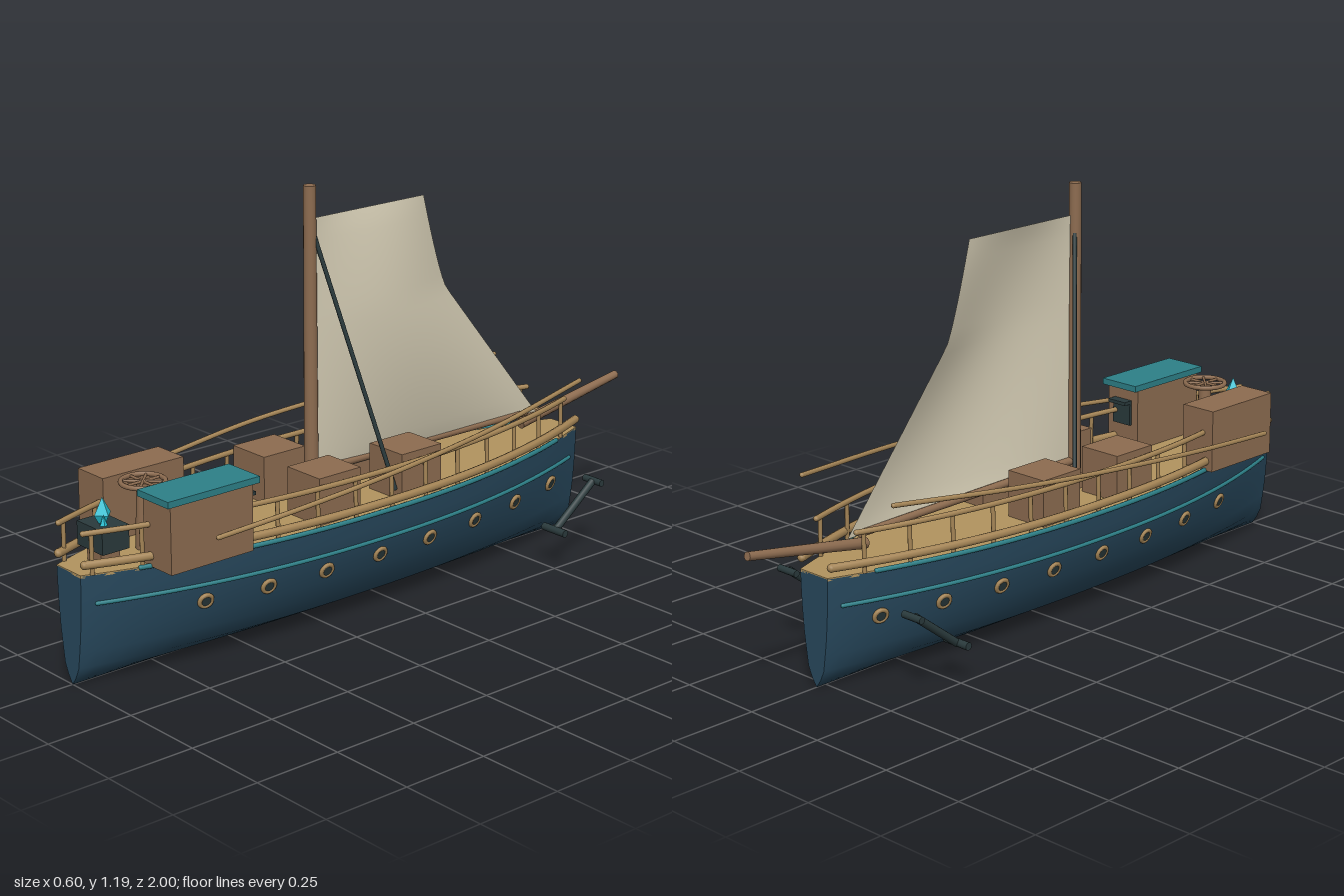
import * as THREE from 'three';

const STERN = 1, BOW = -0.78, DECK = 0.316;
const mat = (name, color, side = THREE.FrontSide) => {
  const m = new THREE.MeshStandardMaterial({ color, side });
  m.name = name;
  return m;
};
const V = (x, y, z) => new THREE.Vector3(x, y, z);

// Half breadth of the deck at a given z, and the section as [breadth fraction, y]
const half = (z) => 0.052 + 0.156 * (1 - Math.pow(Math.abs((z - 0.11) / 0.89), 2.2));
const SECTION = [[0, 0.003], [0.3, 0.025], [0.57, 0.055], [0.7, 0.1], [0.83, 0.15], [0.94, 0.22], [0.98, 0.27], [1, 0.315]];

export function createModel() {
  const model = new THREE.Group();
  model.name = 'sailingBoat';
  const M = {
    hull: mat('hullBlue', 0x28495e, THREE.DoubleSide),
    deck: mat('deckWood', 0xb2945f),
    rail: mat('railWood', 0xa58556),
    wood: mat('brownWood', 0x8d6c50),
    teal: mat('tealTrim', 0x2d8088),
    dark: mat('darkIron', 0x2a3a3c),
    crystal: mat('cyanCrystal', 0x25c3d6),
    sail: mat('sailCloth', 0xd2cab2, THREE.DoubleSide),
  };
  M.crystal.flatShading = true;

  const add = (name, geo, material, pos = [0, 0, 0], parent = model) => {
    const m = new THREE.Mesh(geo, material);
    m.name = name;
    m.position.set(...pos);
    parent.add(m);
    return m;
  };
  const box = (name, x0, x1, y0, y1, z0, z1, material) =>
    add(name, new THREE.BoxGeometry(x1 - x0, y1 - y0, z1 - z0), material, [(x0 + x1) / 2, (y0 + y1) / 2, (z0 + z1) / 2]);
  const beam = (name, a, b, r0, r1, material, sides = 12) => {
    const d = b.clone().sub(a);
    const m = add(name, new THREE.CylinderGeometry(r1, r0, d.length(), sides), material, a.clone().add(b).multiplyScalar(0.5).toArray());
    m.quaternion.setFromUnitVectors(V(0, 1, 0), d.normalize());
    return m;
  };
  const tube = (name, pts, r, material) => {
    add(name, new THREE.TubeGeometry(new THREE.CatmullRomCurve3(pts), 48, r, 8), material);
    // closed ends
    for (const i of [0, pts.length - 1]) add(name + 'End', new THREE.SphereGeometry(r, 8, 6), material, pts[i].toArray());
  };
  // Curve following the hull side at a fixed height
  const along = (side, z0, z1, y, f, n = 24) =>
    Array.from({ length: n + 1 }, (_, i) => {
      const z = z0 + (z1 - z0) * i / n;
      return V(side * half(z) * f, y, z);
    });

  // Hull skin lofted from scaled sections
  const ring = [...SECTION.slice(1).reverse().map(([f, y]) => [-f, y]), ...SECTION];
  const N = 40, K = ring.length, pos = [], idx = [];
  for (let i = 0; i <= N; i++) {
    const z = STERN + (BOW - STERN) * i / N;
    for (const [f, y] of ring) pos.push(f * half(z), y, z);
  }
  for (let i = 0; i < N; i++) for (let j = 0; j < K - 1; j++) {
    const a = i * K + j, b = a + K;
    idx.push(a, b, b + 1, a, b + 1, a + 1);
  }
  const skin = new THREE.BufferGeometry();
  skin.setAttribute('position', new THREE.Float32BufferAttribute(pos, 3));
  skin.setIndex(idx);
  skin.computeVertexNormals();
  add('hull', skin, M.hull);
  for (const z of [STERN, BOW]) {
    const cap = new THREE.Shape(ring.map(([f, y]) => new THREE.Vector2(f * half(z), y)));
    const m = add('hullEnd', new THREE.ShapeGeometry(cap), M.hull, [0, 0, z]);
    if (z < 0) m.rotation.y = Math.PI;
  }

  // Deck plate
  const outline = [...along(1, STERN, BOW, 0, 1), ...along(-1, BOW, STERN, 0, 1)].map((p) => new THREE.Vector2(p.x, -p.z));
  const deck = new THREE.ExtrudeGeometry(new THREE.Shape(outline), { depth: 0.008, bevelEnabled: false });
  add('deck', deck.rotateX(-Math.PI / 2), M.deck, [0, DECK - 0.006, 0]);

  for (const s of [1, -1]) {
    // Trim lines and railings
    tube('gunwaleTrim', along(s, 0.85, -0.65, 0.317, 1), 0.007, M.teal);
    tube('sideTrim', along(s, 0.96, -0.74, 0.236, 0.955), 0.006, M.teal);
    tube('lowerRail', along(s, 0.99, -0.77, 0.345, 1.02), 0.012, M.rail);
    tube('upperRail', along(s, 0.99, -0.7, 0.428, 0.95), 0.008, M.rail);
    for (let i = 0; i < 14; i++) {
      const z = 0.97 - i * 0.127, x = s * half(z);
      beam('railPost', V(x * 0.97, 0.316, z), V(x * 0.95, 0.428, z), 0.006, 0.006, M.rail, 8);
    }

    // Portholes set against the hull
    for (let i = 0; i < 8; i++) {
      const z = 0.67 - i * 0.1865, f = 0.89;
      const hole = new THREE.Group();
      hole.name = 'porthole';
      hole.position.set(s * (half(z) * f + 0.002), 0.187, z);
      const slope = (half(z + 0.01) - half(z - 0.01)) / 0.02 * f;
      hole.lookAt(hole.position.clone().add(V(s, -0.3, -slope)));
      add('portholeRim', new THREE.TorusGeometry(0.018, 0.006, 8, 20), M.rail, [0, 0, 0], hole);
      add('portholeGlass', new THREE.CylinderGeometry(0.016, 0.016, 0.008, 16).rotateX(Math.PI / 2), M.dark, [0, 0, 0], hole);
      model.add(hole);
    }

    // Long bowed poles outboard
    tube('bowedPole', [V(s * 0.26, 0.41, 0.72), V(s * 0.282, 0.433, 0.45), V(s * 0.292, 0.46, 0.15),
      V(s * 0.255, 0.486, -0.25), V(s * 0.175, 0.515, -0.66)], 0.007, M.rail);

    // Anchors
    beam('anchorShank', V(s * 0.243, 0.23, -0.655), V(s * 0.243, 0.115, -0.505), 0.011, 0.011, M.dark);
    beam('anchorStock', V(s * 0.207, 0.23, -0.66), V(s * 0.275, 0.23, -0.66), 0.01, 0.01, M.dark);
    beam('anchorArm', V(s * 0.2, 0.117, -0.505), V(s * 0.285, 0.117, -0.505), 0.011, 0.011, M.dark);

    // Deck crates and mast stays
    for (const z of [-0.045, 0.248])
      box('crate', s * 0.115 - 0.066, s * 0.115 + 0.066, DECK, 0.45, z - 0.072, z + 0.072, M.wood);
    beam('stay', V(s * 0.008, 1.05, 0.185), V(s * 0.158, 0.345, 0.03), 0.006, 0.006, M.dark, 8);
  }

  // Cabins by the stern
  box('cabin', 0.086, 0.2, DECK, 0.502, 0.56, 0.825, M.wood);
  box('cabinRoof', 0.08, 0.208, 0.5, 0.518, 0.542, 0.838, M.teal);
  box('cabinWindow', 0.11, 0.175, 0.39, 0.46, 0.552, 0.561, M.dark);
  box('windowHood', 0.11, 0.175, 0.455, 0.465, 0.53, 0.561, M.dark);
  box('storeCabin', -0.2, -0.09, DECK, 0.497, 0.56, 0.822, M.wood);

  // Steering wheel lying flat on a column
  add('wheelColumn', new THREE.CylinderGeometry(0.018, 0.024, 0.18, 12), M.wood, [0, 0.408, 0.76]);
  add('wheelRim', new THREE.TorusGeometry(0.058, 0.007, 8, 28).rotateX(Math.PI / 2), M.wood, [0, 0.5, 0.76]);
  for (let i = 0; i < 4; i++) {
    const a = i * Math.PI / 4, x = Math.cos(a) * 0.057, z = Math.sin(a) * 0.057;
    beam('wheelSpoke', V(-x, 0.5, 0.76 - z), V(x, 0.5, 0.76 + z), 0.004, 0.004, M.wood, 8);
  }

  // Crystal brazier
  box('brazierFoot', -0.03, 0.03, DECK, 0.36, 0.86, 0.92, M.wood);
  box('brazier', -0.055, 0.055, 0.355, 0.42, 0.848, 0.932, M.dark);
  const crystal = add('crystal', new THREE.OctahedronGeometry(0.026), M.crystal, [0, 0.443, 0.89]);
  crystal.scale.y = 1.75;
  for (const [x, z] of [[0.02, 0.012], [-0.02, -0.012]])
    add('smallCrystal', new THREE.ConeGeometry(0.011, 0.03, 5), M.crystal, [x, 0.434, 0.89 + z]);

  // Mast, boom and bowsprit
  beam('mast', V(0, DECK, 0.195), V(0, 1.19, 0.195), 0.02, 0.017, M.wood, 16);
  add('mastBase', new THREE.CylinderGeometry(0.028, 0.028, 0.035, 16), M.wood, [0, 0.335, 0.195]);
  beam('boom', V(0, 0.395, 0.19), V(0, 0.385, -0.62), 0.012, 0.01, M.wood);
  beam('bowsprit', V(0, 0.355, -0.6), V(0, 0.423, -0.998), 0.016, 0.012, M.wood);

  // Billowing sail with a bent trailing edge
  const sail = new THREE.PlaneGeometry(1, 1, 20, 24);
  const p = sail.attributes.position;
  for (let i = 0; i < p.count; i++) {
    const u = p.getX(i) + 0.5, v = p.getY(i) + 0.5;
    const y = 0.38 + 0.72 * v, t = Math.max(0, (y - 0.82) / 0.28);
    const edge = y < 0.82 ? -0.66 + 0.36 * (y - 0.38) / 0.44 : -0.3 + 0.09 * Math.pow(t, 0.8);
    const belly = 0.048 * Math.sin(Math.PI * u) * Math.pow(Math.sin(Math.PI * Math.min(v, 1)), 0.8);
    p.setXYZ(i, (belly || 0) + 0.002, y, 0.185 + (edge - 0.185) * u);
  }
  sail.computeVertexNormals();
  add('sail', sail, M.sail);

  return model;
}
